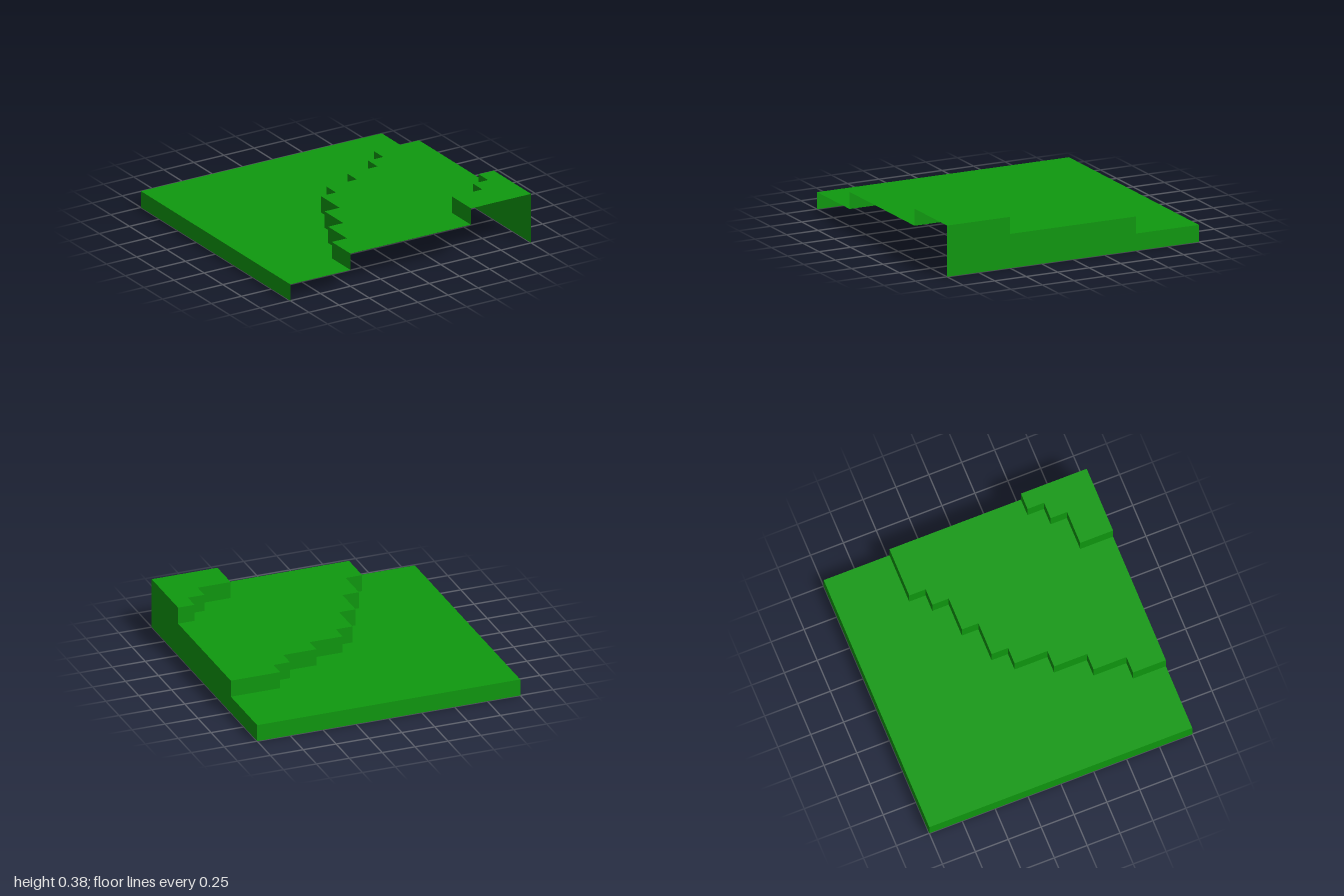
import * as THREE from 'three';

const STEP = 0.125; // height of one terrace

// Riser outlines as [x, z], from the front edge round to the right edge
const middleEdge = [
  [-0.5, 1], [-0.5, 0.75], [-0.375, 0.75], [-0.375, 0.5], [-0.25, 0.5], [-0.25, 0.25],
  [-0.125, 0.25], [-0.125, 0], [0, 0], [0, -0.125], [0.25, -0.125], [0.25, -0.25],
  [0.5, -0.25], [0.5, -0.375], [0.625, -0.375], [0.625, -0.5], [1, -0.5],
];
const upperEdge = [
  [0.5, 1], [0.5, 0.75], [0.75, 0.75], [0.75, 0.625], [0.875, 0.625], [0.875, 0.5], [1, 0.5],
];
const outerEdge = [[-1, 1], [-1, -1], [1, -1]];

function polygon(points) {
  return new THREE.ShapeGeometry(new THREE.Shape(points.map(([x, y]) => new THREE.Vector2(x, y))));
}

// Horizontal surface from an [x, z] outline
function flat(points, y) {
  return polygon(points.map(([x, z]) => [x, -z])).rotateX(-Math.PI / 2).translate(0, y, 0);
}

// Vertical strip following an [x, z] path
function wall(path, y0, y1) {
  const positions = [];
  for (let i = 0; i < path.length - 1; i++) {
    const [ax, az] = path[i];
    const [bx, bz] = path[i + 1];
    positions.push(ax, y0, az, ax, y1, az, bx, y1, bz);
    positions.push(ax, y0, az, bx, y1, bz, bx, y0, bz);
  }
  const geometry = new THREE.BufferGeometry();
  geometry.setAttribute('position', new THREE.Float32BufferAttribute(positions, 3));
  geometry.computeVertexNormals();
  return geometry;
}

export function createModel() {
  const grass = new THREE.MeshStandardMaterial({ color: 0x0f990f, side: THREE.DoubleSide });
  grass.name = 'grass green';
  const group = new THREE.Group();
  group.name = 'terracedHill';
  const add = (name, geometry) => {
    const mesh = new THREE.Mesh(geometry, grass);
    mesh.name = name;
    group.add(mesh);
  };

  // Each terrace: its riser, and a top that stops at the next riser
  const edges = [outerEdge, middleEdge, upperEdge];
  ['lower', 'middle', 'upper'].forEach((name, i) => {
    const inner = edges[i + 1] ? [...edges[i + 1]].reverse() : [[1, 1]];
    add(name + 'Riser', wall(edges[i], i * STEP, (i + 1) * STEP));
    add(name + 'Terrace', flat([...edges[i], ...inner], (i + 1) * STEP));
  });

  // Stepped right wall; the front and the underside stay open
  const profile = [
    [-1, 0], [1, 0], [1, STEP], [0.5, STEP], [0.5, 2 * STEP],
    [-0.5, 2 * STEP], [-0.5, 3 * STEP], [-1, 3 * STEP],
  ];
  add('steppedSideWall', polygon(profile).rotateY(Math.PI / 2).translate(1, 0, 0));

  return group;
}
